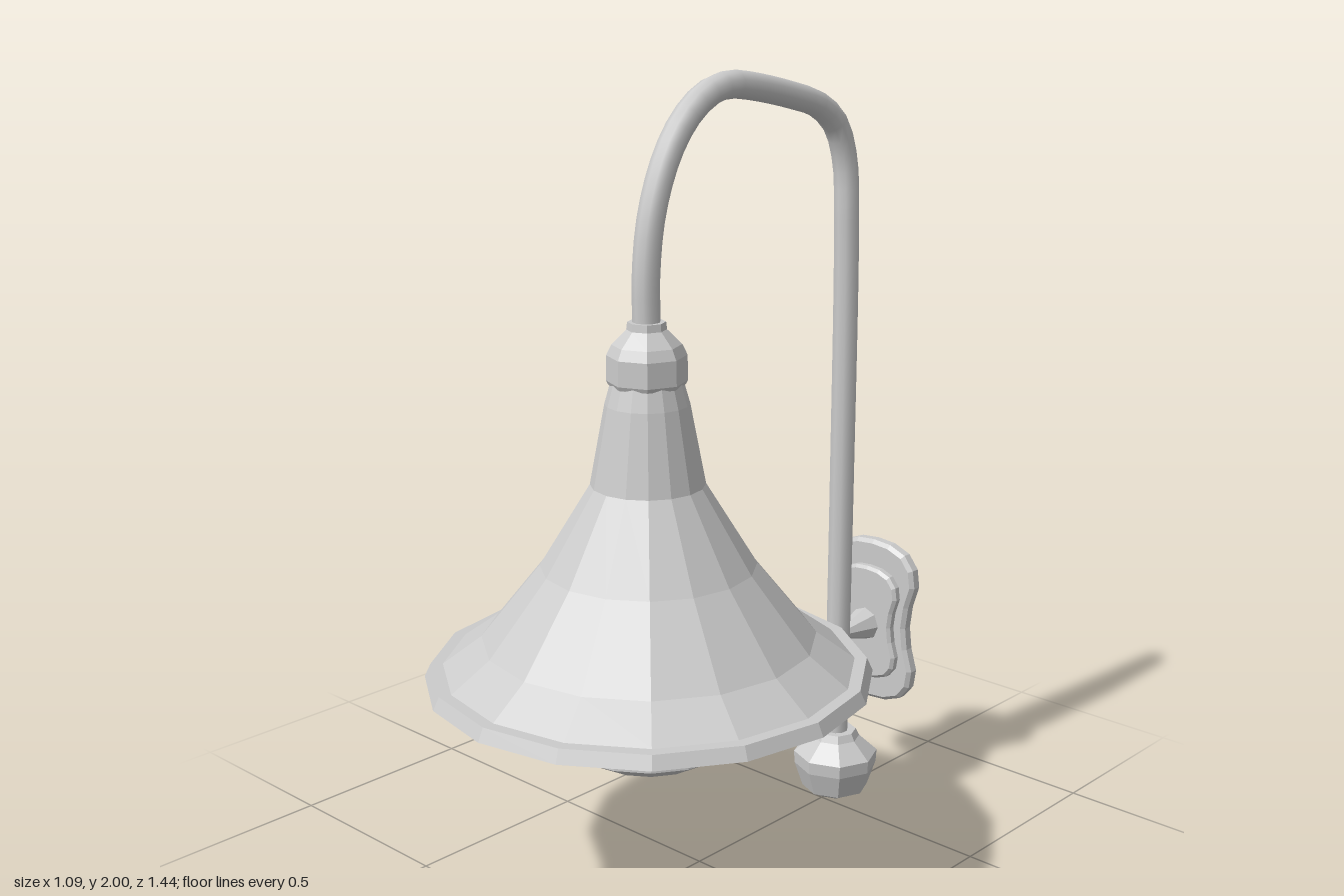
import * as THREE from 'three';

const flat = new THREE.MeshStandardMaterial({ color: 0xcccccc, flatShading: true });
const smooth = new THREE.MeshStandardMaterial({ color: 0xcccccc });

const LAMP_Z = 0.178;
const POST_X = 0.013;
const POST_Z = -0.54;
const PLATE_Y = 0.4825;

export function createModel() {
  const model = new THREE.Group();
  model.name = 'wallLamp';

  function add(name, geometry, material, x = 0, y = 0, z = 0) {
    const mesh = new THREE.Mesh(geometry, material);
    mesh.name = name;
    mesh.position.set(x, y, z);
    model.add(mesh);
    return mesh;
  }

  // Faceted turned part; profile is [radius, y] from bottom to top
  function turned(name, profile, sides, x, z) {
    const points = profile.map(([r, y]) => new THREE.Vector2(r, y));
    return add(name, new THREE.LatheGeometry(points, sides), flat, x, 0, z);
  }

  // Flared shade with a shallow recessed underside
  turned('shade', [
    [0, 0.607], [0.505, 0.607], [0.545, 0.583], [0.53, 0.615], [0.5, 0.615],
    [0.405, 0.685], [0.26, 0.865], [0.137, 1.065], [0.1, 1.26], [0.083, 1.32],
  ], 16, 0, LAMP_Z);

  // Glass below the shade
  turned('glass', [
    [0, 0.352], [0.05, 0.354], [0.155, 0.38], [0.23, 0.425], [0.226, 0.48],
    [0.221, 0.52], [0.23, 0.575], [0.23, 0.612],
  ], 16, 0, LAMP_Z);

  // Collar joining the shade to the arm
  turned('collar', [
    [0, 1.305], [0.09, 1.305], [0.095, 1.315], [0.094, 1.375], [0.082, 1.4],
    [0.047, 1.435], [0.045, 1.453], [0, 1.453],
  ], 8, 0, LAMP_Z);

  // Finial at the foot of the post
  turned('finial', [
    [0, 0], [0.045, 0.008], [0.09, 0.032], [0.113, 0.1], [0.115, 0.135],
    [0.065, 0.18], [0.055, 0.2], [0, 0.2],
  ], 8, POST_X, POST_Z);

  // Bent tube: post, crook and drop to the shade
  const path = new THREE.CatmullRomCurve3([
    [POST_X, 0.15, POST_Z], [POST_X, 0.9, POST_Z], [0.008, 1.6, -0.54],
    [0.004, 1.76, -0.532], [0.002, 1.85, -0.495], [0, 1.9, -0.43],
    [0, 1.93, -0.33], [0, 1.964, -0.16], [0, 1.969, -0.09], [0, 1.95, -0.02],
    [0, 1.9, 0.05], [0, 1.82, 0.11], [0, 1.7, 0.158], [0, 1.57, 0.178],
    [0, 1.42, LAMP_Z],
  ].map((p) => new THREE.Vector3(...p)));
  add('arm', new THREE.TubeGeometry(path, 64, 0.033, 10), smooth);

  // Waisted plate outline from one quarter, mirrored both ways
  function plateGeometry(halfWidth, halfHeight, depth, bevel) {
    const quarter = [[0.8, 0], [0.86, 0.28], [1, 0.55], [0.95, 0.75], [0.75, 0.9], [0.4, 0.98]];
    const upper = [...quarter, [0, 1], ...quarter.slice(1).reverse().map(([x, y]) => [-x, y])];
    const outline = [...upper, ...upper.map(([x, y]) => [-x, -y])];
    const shape = new THREE.Shape(outline.map(([x, y]) => new THREE.Vector2(
      x * (halfWidth - bevel), y * (halfHeight - bevel))));
    return new THREE.ExtrudeGeometry(shape, {
      depth: depth - 2 * bevel, bevelEnabled: true, bevelSegments: 1,
      bevelSize: bevel, bevelThickness: bevel,
    }).translate(0, 0, bevel);
  }

  // Stepped wall plate
  add('wallPlate', plateGeometry(0.14, 0.2325, 0.042, 0.01), flat, POST_X, PLATE_Y, -0.722);
  add('wallPlateStep', plateGeometry(0.1, 0.162, 0.035, 0.008), flat, POST_X, PLATE_Y, -0.692);

  // Tapered bracket from the plate to the post
  const bracket = new THREE.CylinderGeometry(0.014, 0.05, 0.115, 8).rotateX(Math.PI / 2);
  add('bracket', bracket, flat, POST_X, 0.478, -0.612);

  return model;
}
